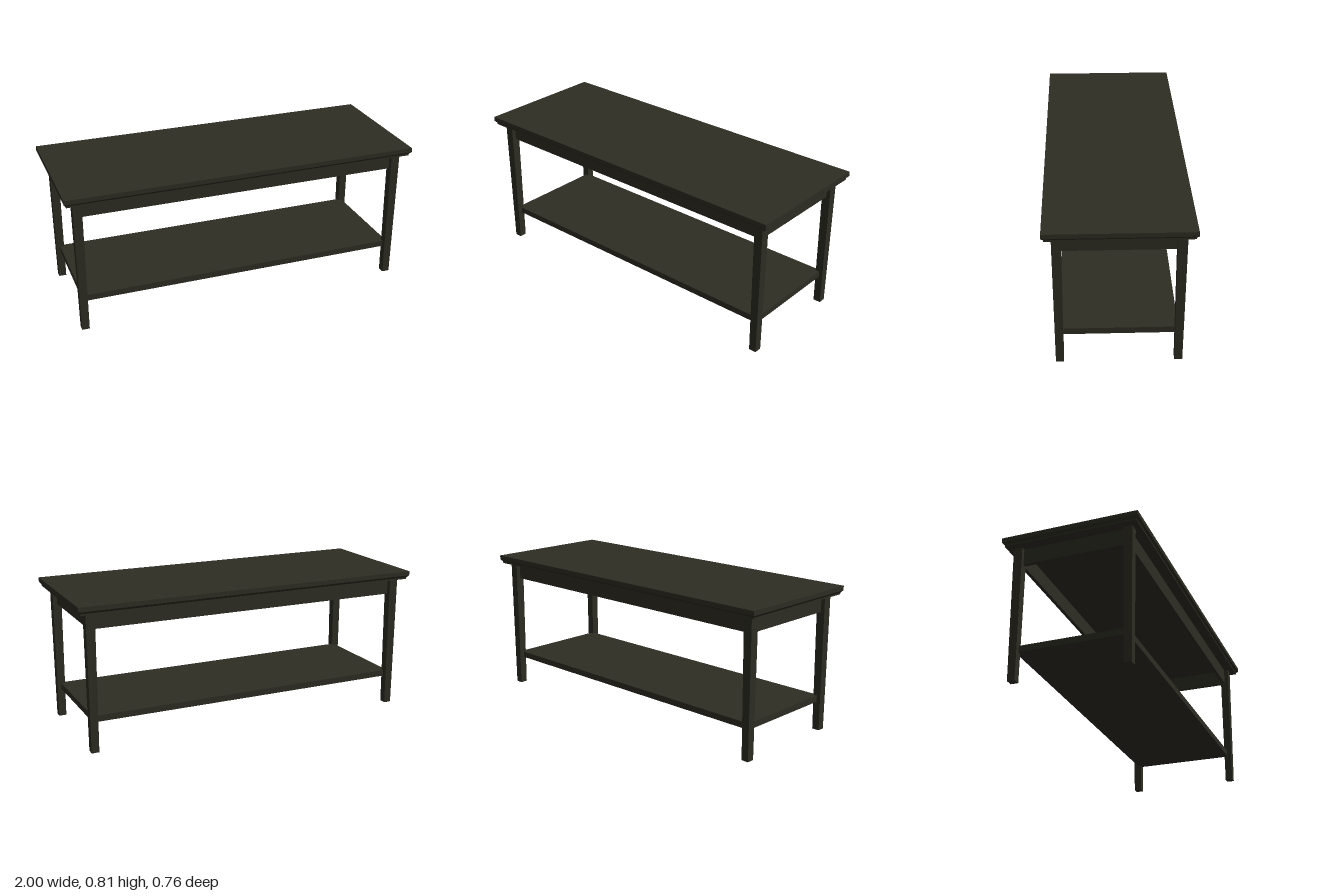
import * as THREE from 'three';

const wood = new THREE.MeshStandardMaterial({ color: 0x2e2d23 });
wood.name = 'dark stained wood';

// Box between two heights whose bottom and top rectangles may differ in size
function block(name, y0, y1, bottom, top = bottom, x = 0, z = 0) {
  const g = new THREE.BoxGeometry(1, y1 - y0, 1);
  const p = g.attributes.position;
  for (let i = 0; i < p.count; i++) {
    const [w, d] = p.getY(i) > 0 ? top : bottom;
    p.setX(i, p.getX(i) * w);
    p.setZ(i, p.getZ(i) * d);
  }
  g.computeVertexNormals();
  const mesh = new THREE.Mesh(g, wood);
  mesh.name = name;
  mesh.position.set(x, (y0 + y1) / 2, z);
  return mesh;
}

export function createModel() {
  const table = new THREE.Group();
  table.name = 'coffeeTable';

  // Tabletop: slab, sloped underside moulding and thin lower lip
  const top = new THREE.Group();
  top.name = 'tabletop';
  top.add(
    block('topSlab', 0.79, 0.815, [2, 0.764]),
    block('topBevel', 0.777, 0.79, [1.976, 0.74], [2, 0.764]),
    block('topLip', 0.768, 0.777, [1.976, 0.74])
  );
  table.add(top);

  // Four legs tapering slightly towards the floor
  for (const sx of [-1, 1]) {
    for (const sz of [-1, 1]) {
      table.add(block('leg', 0, 0.768, [0.042, 0.042], [0.05, 0.05], sx * 0.925, sz * 0.31));
    }
  }

  // Apron rails between the legs, set back from their outer faces
  for (const s of [-1, 1]) {
    table.add(block('longApron', 0.675, 0.768, [1.81, 0.02], undefined, 0, s * 0.3));
    table.add(block('endApron', 0.675, 0.768, [0.02, 0.58], undefined, s * 0.917, 0));
  }

  // Lower shelf, its corners housed in the legs
  table.add(block('shelf', 0.163, 0.198, [1.85, 0.61]));

  return table;
}
